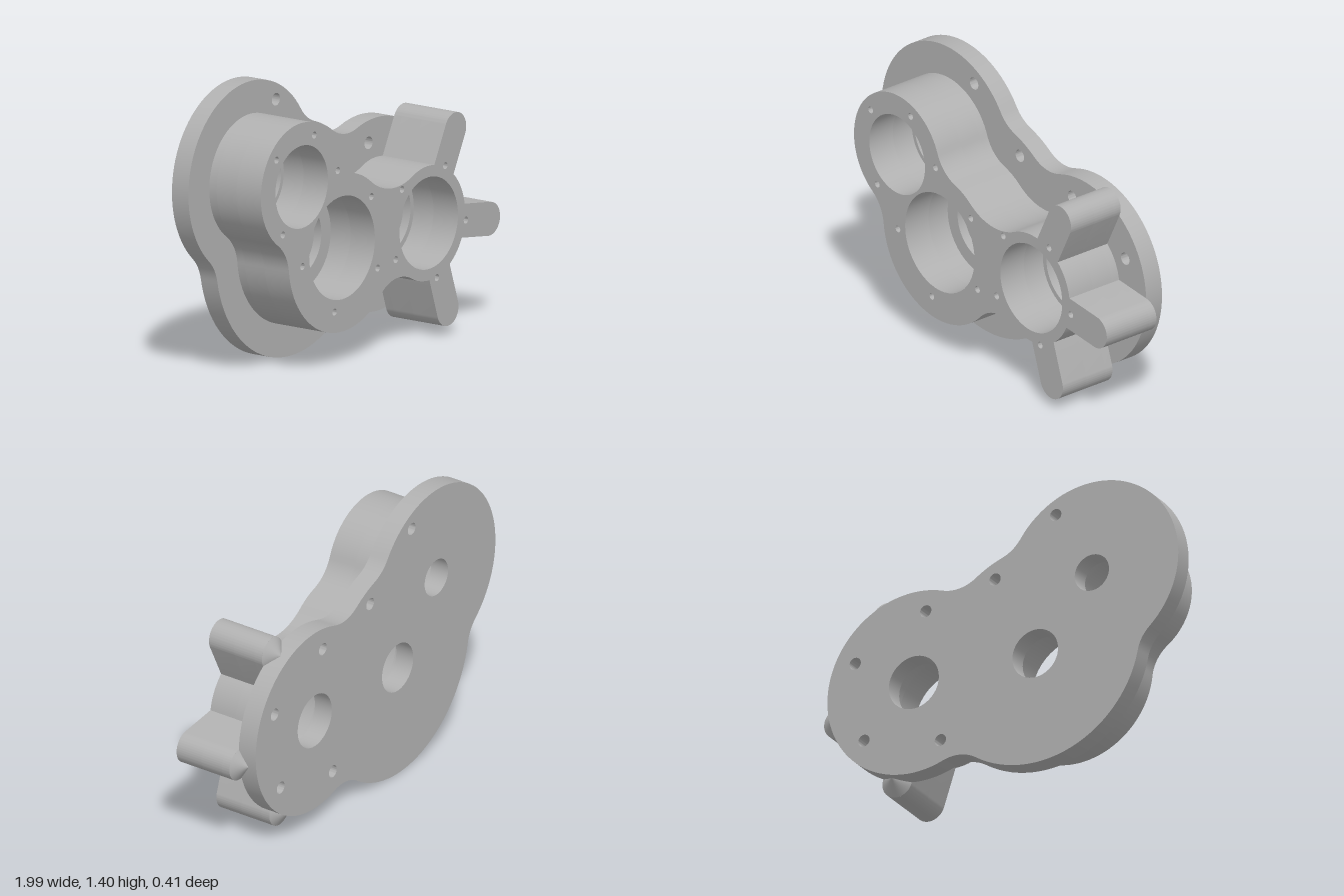
import * as THREE from 'three';
import { toCreasedNormals } from 'three/addons/utils/BufferGeometryUtils.js';

// Bore centres
const A = [-0.527, 0.93], B = [-0.217, 0.577], C = [0.447, 0.577];
const BACK = -0.205, SEAT = -0.105, STEP = -0.06, BLIND = 0.06, FRONT = 0.208;
const ARM_R = 0.082, ARM_LEN = 0.47;
const ARMS = [-1.253, -0.136, 1.117]; // arm angles around bore C

const polar = ([x, y], r, a) => [x + r * Math.cos(a), y + r * Math.sin(a)];
const angleTo = (p, q) => Math.atan2(q[1] - p[1], q[0] - p[0]);

// Adds an arc from angle a to b; dir 1 is counter-clockwise, -1 clockwise
function addArc(pts, c, r, a, b, dir = 1) {
  const turn = Math.PI * 2;
  const sweep = ((((b - a) * dir) % turn) + turn) % turn;
  const n = Math.max(2, Math.ceil(sweep / 0.07));
  for (let i = 0; i <= n; i++) pts.push(polar(c, r, a + (dir * sweep * i) / n));
}

// Centre of the concave fillet touching two lobes, right of p -> q
function filletCentre(p, q, f) {
  const d = Math.hypot(q.c[0] - p.c[0], q.c[1] - p.c[1]);
  const r1 = p.r + f, r2 = q.r + f;
  const along = (r1 * r1 - r2 * r2 + d * d) / (2 * d);
  const h = Math.sqrt(r1 * r1 - along * along);
  const u = [(q.c[0] - p.c[0]) / d, (q.c[1] - p.c[1]) / d];
  return [p.c[0] + u[0] * along + u[1] * h, p.c[1] + u[1] * along - u[0] * h];
}

// Closed outline of circular lobes blended by fillets, with optional arms
function outline(lobes) {
  const n = lobes.length, pts = [];
  const centres = lobes.map((l, i) => filletCentre(l, lobes[(i + 1) % n], l.fillet));
  lobes.forEach((l, i) => {
    const next = lobes[(i + 1) % n], f = centres[i];
    let a = angleTo(l.c, centres[(i + n - 1) % n]);
    for (const t of l.arms || []) {
      const half = Math.asin(ARM_R / l.r);
      addArc(pts, l.c, l.r, a, t - half);
      addArc(pts, polar(l.c, ARM_LEN, t), ARM_R, t - Math.PI / 2, t + Math.PI / 2);
      a = t + half;
    }
    addArc(pts, l.c, l.r, a, angleTo(l.c, f));
    addArc(pts, f, l.fillet, angleTo(f, l.c), angleTo(f, next.c), -1);
  });
  // drop repeated points at the joins
  return pts.filter((p, i) => {
    const q = pts[(i + 1) % pts.length];
    return Math.hypot(p[0] - q[0], p[1] - q[1]) > 1e-5;
  });
}

// Slab between two depths with round holes [centre, radius]
function slab(name, points, holes, z0, z1, material) {
  const shape = new THREE.Shape(points.map((p) => new THREE.Vector2(...p)));
  for (const [c, r] of holes) {
    const path = new THREE.Path();
    path.absarc(c[0], c[1], r, 0, Math.PI * 2, true);
    shape.holes.push(path);
  }
  const geo = new THREE.ExtrudeGeometry(shape, { depth: z1 - z0, bevelEnabled: false, curveSegments: 24 });
  geo.translate(0, 0, z0);
  const mesh = new THREE.Mesh(toCreasedNormals(geo, 0.5), material);
  mesh.name = name;
  return mesh;
}

export function createModel() {
  const group = new THREE.Group();
  group.name = 'gearboxHousing';
  const metal = new THREE.MeshStandardMaterial({ color: 0xb0b0b0 });
  metal.name = 'grey metal';

  // Base plate with shaft holes and bolt holes
  const plate = outline([
    { c: C, r: 0.473, fillet: 0.2 },
    { c: B, r: 0.572, fillet: 0.2 },
    { c: A, r: 0.473, fillet: 0.2 },
    { c: B, r: 0.572, fillet: 0.2 },
  ]);
  const boltHoles = [
    [-0.329, 1.278], [0.003, 1.016], [0.382, 0.936],
    [0.768, 0.749], [0.72, 0.334], [0.302, 0.241],
  ].map((c) => [c, 0.031]);
  const shafts = [[A, 0.094], [B, 0.125], [C, 0.137]];
  group.add(slab('basePlate', plate, [...shafts, ...boltHoles], BACK, SEAT, metal));

  // Raised housing with three radial arms, in layers for the stepped bores
  const housing = outline([
    { c: C, r: 0.28, fillet: 0.3, arms: ARMS },
    { c: B, r: 0.36, fillet: 0.2 },
    { c: A, r: 0.313, fillet: 0.2 },
    { c: B, r: 0.41, fillet: 0.2 },
  ]);
  const steps = [[A, 0.182], [B, 0.18], [C, 0.2]];
  const bores = [[A, 0.202], [B, 0.252], [C, 0.225]];
  const screwHoles = [
    [-0.719, 1.096], [-0.43, 1.166], [-0.249, 0.96], [-0.671, 0.722],
    [-0.521, 0.54], [-0.275, 0.273], [0.056, 0.428], [0.008, 0.786],
    [0.243, 0.778], [0.575, 0.834], [0.733, 0.54], [0.511, 0.299], [0.195, 0.444],
  ].map((c) => [c, 0.017]);
  group.add(slab('housingSeat', housing, steps, SEAT, STEP, metal));
  group.add(slab('housingBody', housing, bores, STEP, BLIND, metal));
  group.add(slab('housingFront', housing, [...bores, ...screwHoles], BLIND, FRONT, metal));

  // Conical back ends of the arms
  ARMS.forEach((t) => {
    const geo = new THREE.ConeGeometry(ARM_R, 0.055, 40, 1, true);
    geo.rotateX(-Math.PI / 2);
    const cone = new THREE.Mesh(geo, metal);
    cone.name = 'armTipCone';
    cone.position.set(...polar(C, ARM_LEN, t), SEAT - 0.0275);
    group.add(cone);
  });
  return group;
}
